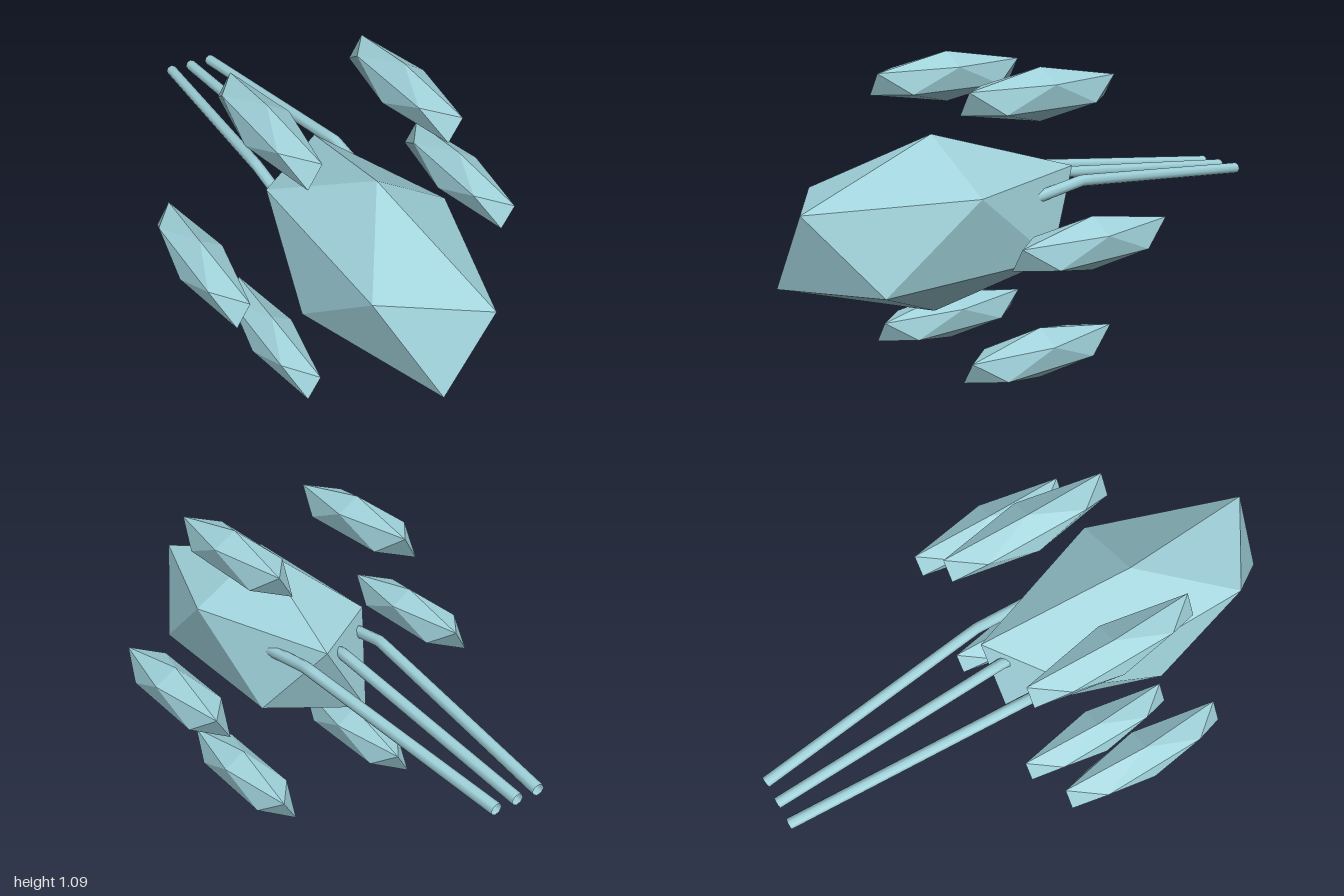
import * as THREE from 'three';
import { ConvexGeometry } from 'three/addons/geometries/ConvexGeometry.js';

// Icosahedron standing on one tip, with a corner towards +x, stretched along z
function crystalGeometry(radius, stretch) {
  const points = [new THREE.Vector3(0, radius, 0), new THREE.Vector3(0, -radius, 0)];
  const ringY = radius / Math.sqrt(5), ringR = ringY * 2;
  for (let i = 0; i < 10; i++) {
    const a = (i * Math.PI) / 5;
    points.push(new THREE.Vector3(
      Math.cos(a) * ringR,
      i % 2 === 0 ? ringY : -ringY,
      Math.sin(a) * ringR * stretch,
    ));
  }
  return new ConvexGeometry(points);
}

export function createModel() {
  const model = new THREE.Group();
  const ice = new THREE.MeshStandardMaterial({ color: 0xa0d2db, flatShading: true });
  const tubeIce = new THREE.MeshStandardMaterial({ color: 0xa0d2db, side: THREE.DoubleSide });
  ice.name = 'paleBlue';
  tubeIce.name = 'paleBlueTube';
  const midY = 0.547;

  // Large central crystal
  const body = new THREE.Mesh(crystalGeometry(0.3125, 2.095), ice);
  body.name = 'body';
  body.position.set(0, midY, 0.443);
  model.add(body);

  // Ring of six small floating crystals
  const shardGeometry = crystalGeometry(0.091, 4.02);
  const shards = new THREE.Group();
  shards.name = 'floatingShards';
  for (let i = 0; i < 6; i++) {
    const a = (i * Math.PI) / 3;
    const shard = new THREE.Mesh(shardGeometry, ice);
    shard.name = 'shard';
    shard.position.set(Math.cos(a) * 0.523, midY + Math.sin(a) * 0.523, 0.185);
    shards.add(shard);
  }
  model.add(shards);

  // Three trailing tubes, bent where they leave the body
  const tails = new THREE.Group();
  tails.name = 'tails';
  for (const side of [-1, 0, 1]) {
    const start = new THREE.Vector3(side * 0.165, 0.615, 0.15);
    const bend = new THREE.Vector3(side * 0.162, 0.647, -0.09);
    const end = new THREE.Vector3(side * 0.087, 0.55, -0.998);
    const path = new THREE.CurvePath();
    path.add(new THREE.LineCurve3(start, bend));
    path.add(new THREE.LineCurve3(bend, end));
    const tail = new THREE.Mesh(new THREE.TubeGeometry(path, 24, 0.022, 8, false), tubeIce);
    tail.name = 'tail';
    tails.add(tail);
  }
  model.add(tails);

  return model;
}
